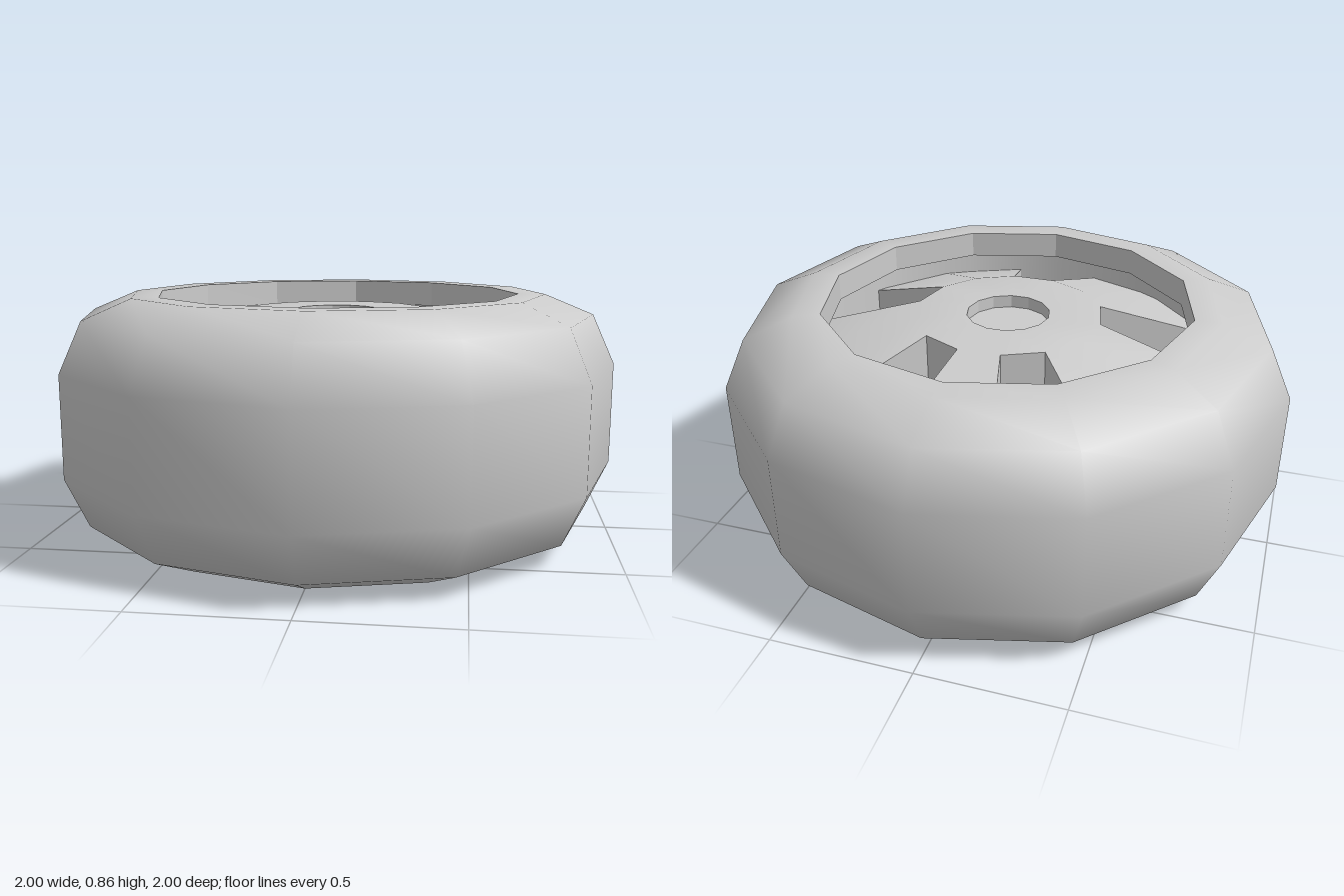
import * as THREE from 'three';
import { mergeGeometries, toCreasedNormals } from 'three/addons/utils/BufferGeometryUtils.js';

const TYRE_SIDES = 12;
const HUB_SIDES = 14;
const STEP = (Math.PI * 2) / HUB_SIDES;

const toPoints = (pairs) => pairs.map(([r, y]) => new THREE.Vector2(r, y));
const lathe = (pairs, sides = TYRE_SIDES, start = 0, length = Math.PI * 2) =>
  new THREE.LatheGeometry(toPoints(pairs), sides, start, length);

export function createModel() {
  const wheel = new THREE.Group();
  wheel.name = 'wheel';
  const smooth = new THREE.MeshStandardMaterial({ color: 0xcccccc });
  const flat = new THREE.MeshStandardMaterial({ color: 0xcccccc, flatShading: true });
  const doubleSided = new THREE.MeshStandardMaterial({ color: 0xcccccc, side: THREE.DoubleSide });

  const add = (name, geometry, material) => {
    const mesh = new THREE.Mesh(geometry, material);
    mesh.name = name;
    wheel.add(mesh);
  };

  // Tyre: rounded outer skin, running from the bottom lip to the top lip
  add('tyre', lathe([
    [0.655, 0], [0.75, 0], [0.92, 0.075], [1, 0.25],
    [1, 0.61], [0.92, 0.785], [0.75, 0.855], [0.655, 0.855],
  ]), smooth);

  // Lips: faceted bands and ledges around both openings
  add('topLip', lathe([[0.655, 0.855], [0.655, 0.76], [0.73, 0.76]]), flat);
  add('bottomLip', lathe([[0.73, 0.095], [0.655, 0.095], [0.655, 0]]), flat);

  // Barrel: wider wall inside the rim
  add('rimBarrel', lathe([[0.73, 0.76], [0.73, 0.095]]), smooth);

  // Hub with a shallow centre recess
  const parts = [lathe([
    [0, 0.53], [0.335, 0.53], [0.335, 0.795], [0.148, 0.795], [0.148, 0.75], [0, 0.75],
  ], HUB_SIDES, STEP / 2)];

  // Spokes: sectors of the hub's 14 sides, four double and one single,
  // with a one-sector window between each pair
  const section = [[0.335, 0.53], [0.76, 0.326], [0.76, 0.653], [0.335, 0.795]];
  let start = STEP / 2;
  for (const sectors of [2, 2, 1, 2, 2]) {
    const length = sectors * STEP;
    parts.push(lathe(section, sectors, start, length));
    for (const angle of [start, start + length]) {
      const wall = new THREE.ShapeGeometry(new THREE.Shape(toPoints(section)));
      parts.push(wall.rotateY(angle - Math.PI / 2));
    }
    start += length + STEP;
  }
  add('hubAndSpokes', toCreasedNormals(mergeGeometries(parts), 0.44), doubleSided);

  return wheel;
}
